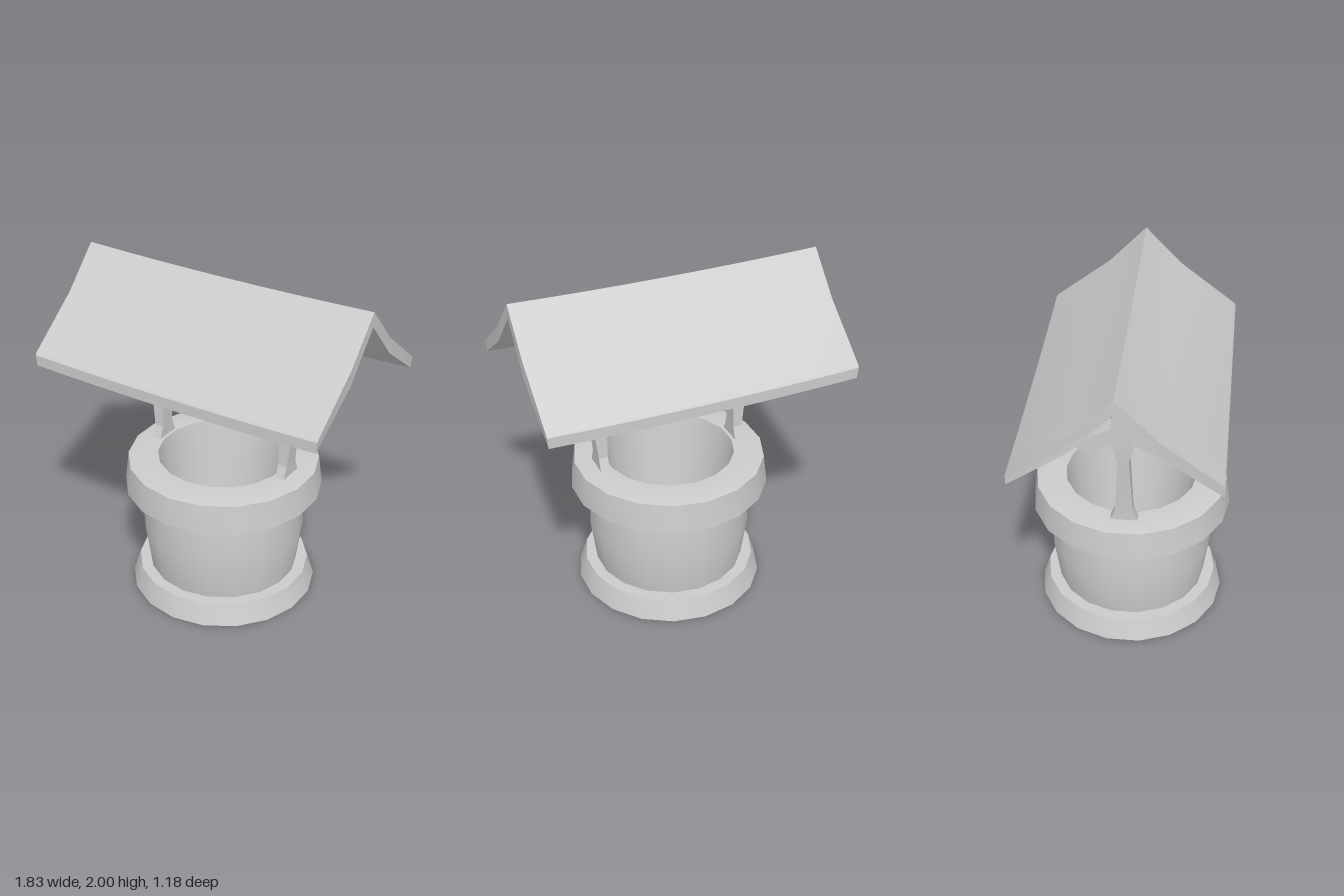
import * as THREE from 'three';
import { toCreasedNormals } from 'three/addons/utils/BufferGeometryUtils.js';

const SIDES = 18;
const solid = new THREE.MeshStandardMaterial({ color: 0xcccccc });
const shell = new THREE.MeshStandardMaterial({ color: 0xcccccc, side: THREE.DoubleSide });

function part(name, geometry, material = solid, crease = 0.5) {
  const mesh = new THREE.Mesh(toCreasedNormals(geometry, crease), material);
  mesh.name = name;
  return mesh;
}

// Revolved stonework; profile is [radius, height] pairs
function turned(name, profile) {
  return part(name, new THREE.LatheGeometry(profile.map(([r, y]) => new THREE.Vector2(r, y)), SIDES), shell);
}

// Closed outline made from its +z half, mirrored; points are [z, y] from top to bottom
function mirroredShape(half) {
  const other = half.filter(([z]) => z > 0).reverse().map(([z, y]) => [-z, y]);
  return new THREE.Shape([...half, ...other].map(([z, y]) => new THREE.Vector2(z, y)));
}

// Extrude a z-y outline along x, centred on x = 0
function alongX(shape, length, steps = 1) {
  return new THREE.ExtrudeGeometry(shape, { depth: length, steps, bevelEnabled: false })
    .translate(0, 0, -length / 2)
    .rotateY(Math.PI / 2);
}

// Move each vertex by a rule
function reshape(geometry, rule) {
  const p = geometry.attributes.position;
  const v = new THREE.Vector3();
  for (let i = 0; i < p.count; i++) {
    rule(v.fromBufferAttribute(p, i));
    p.setXYZ(i, v.x, v.y, v.z);
  }
  return geometry;
}

export function createModel() {
  const well = new THREE.Group();
  well.name = 'well';

  // Stonework
  well.add(turned('base', [[0.562, 0], [0.52, 0.13], [0.44, 0.13]]));
  well.add(turned('barrel', [[0.452, 0.13], [0.488, 0.4], [0.452, 0.675]]));
  well.add(turned('rim', [[0.44, 0.667], [0.5, 0.667], [0.59, 0.68], [0.568, 0.852], [0.49, 0.867], [0.39, 0.867]]));
  well.add(turned('innerWall', [[0, 0.156], [0.285, 0.156], [0.39, 0.867]]));

  // Posts with a flared foot and a bent brace on each side
  const postOutline = mirroredShape([
    [0, 1.94], [0.025, 1.91], [0.065, 1.53], [0.2, 1.46], [0.36, 1.595], [0.455, 1.515],
    [0.2, 1.355], [0.065, 1.43], [0.032, 1.3], [0.05, 0.94], [0.08, 0.86],
  ]);
  for (const side of [1, -1]) {
    const geometry = reshape(alongX(postOutline, 2), (v) => {
      const rise = THREE.MathUtils.clamp((v.y - 0.94) / 0.42, 0, 1);
      const outer = v.x * side > 0;
      v.x = side * (outer ? 0.458 + 0.045 * rise : 0.403 - 0.006 * rise);
    });
    well.add(part(side > 0 ? 'leftPost' : 'rightPost', geometry, solid, 0.2));
  }

  // Crossbar, set on edge
  const bar = new THREE.CylinderGeometry(0.032, 0.032, 0.82, 4).rotateZ(Math.PI / 2).translate(0, 1.1, 0);
  well.add(part('crossbar', bar));

  // Beam between the posts, arched upwards in the middle
  const beamOutline = mirroredShape([[0.045, 1.52], [0.045, 1.43]]);
  const beam = reshape(alongX(beamOutline, 0.82, 4), (v) => {
    v.y += 0.07 * (1 - Math.abs(v.x) / 0.41);
  });
  well.add(part('archedBeam', beam));

  // Roof slab, bent on each slope and sagging along the ridge
  const roofOutline = mirroredShape([
    [0, 2], [0.223, 1.767], [0.55, 1.515], [0.56, 1.5], [0.56, 1.437], [0.23, 1.67], [0, 1.915],
  ]);
  const roof = reshape(alongX(roofOutline, 1.83, 8), (v) => {
    const t = v.x / 0.915;
    v.y -= 0.015 * (1 - t * t);
    v.x *= 1 - 0.012 * Math.max(0, (1.55 - v.y) / 0.12);
  });
  well.add(part('roof', roof));

  return well;
}
